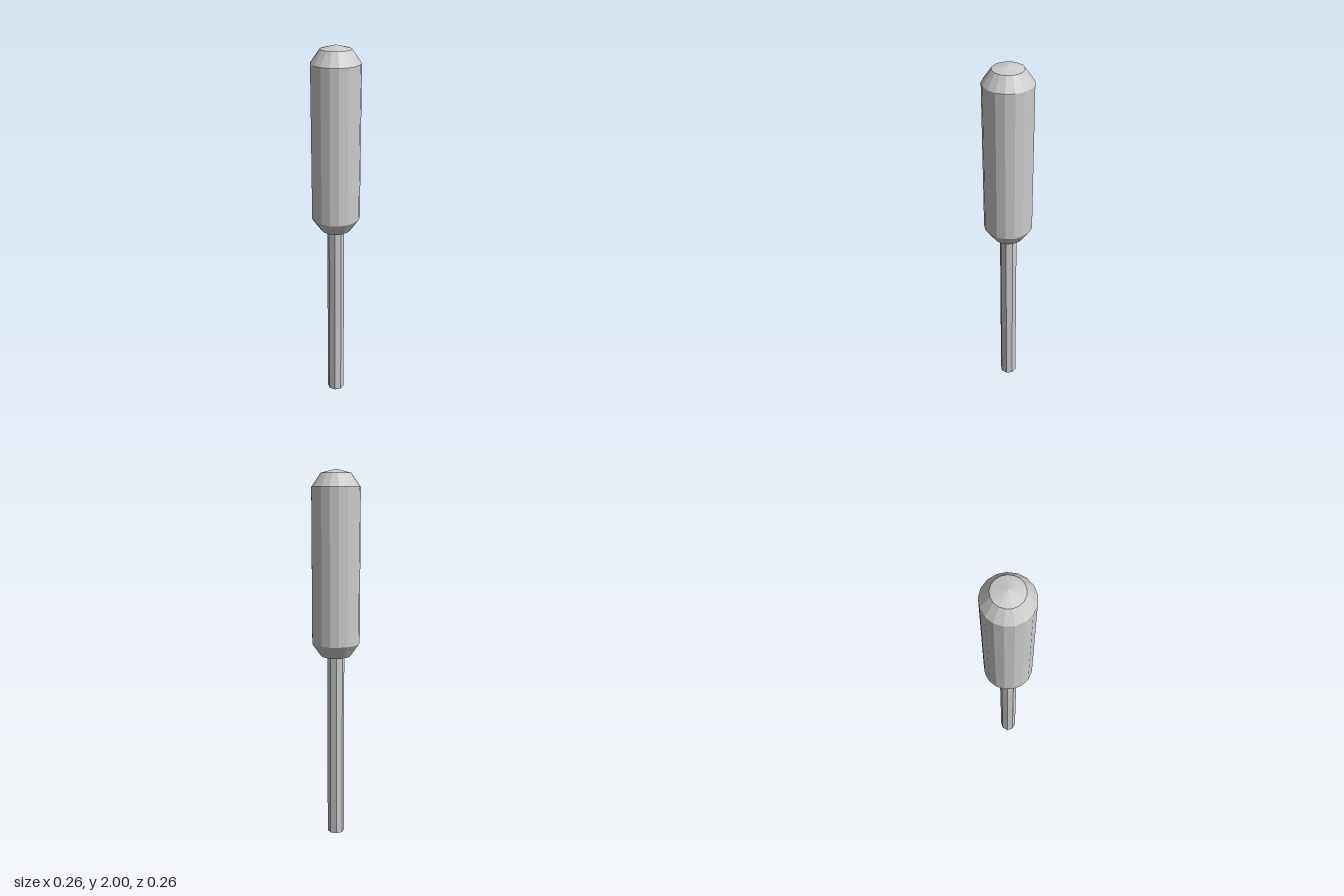
import * as THREE from 'three';

const material = new THREE.MeshStandardMaterial({ color: 0xcccccc, flatShading: true });

function addPart(group, name, profile, sides, phiStart) {
  const points = profile.map(([r, y]) => new THREE.Vector2(r, y));
  const mesh = new THREE.Mesh(new THREE.LatheGeometry(points, sides, phiStart), material);
  mesh.name = name;
  group.add(mesh);
}

export function createModel() {
  const group = new THREE.Group();
  group.name = 'handTool';

  // Faceted grip with bevelled ends and shallow conical caps
  addPart(group, 'handle', [
    [0, 1.0], [0.08, 1.02], [0.129, 1.09],
    [0.129, 1.91], [0.08, 1.98], [0, 2],
  ], 17, Math.PI);

  // Straight octagonal shaft, closed at the tip and seated in the grip
  addPart(group, 'shaft', [
    [0, 0], [0.046, 0], [0.046, 1.015], [0, 1.015],
  ], 8, 0);

  return group;
}
